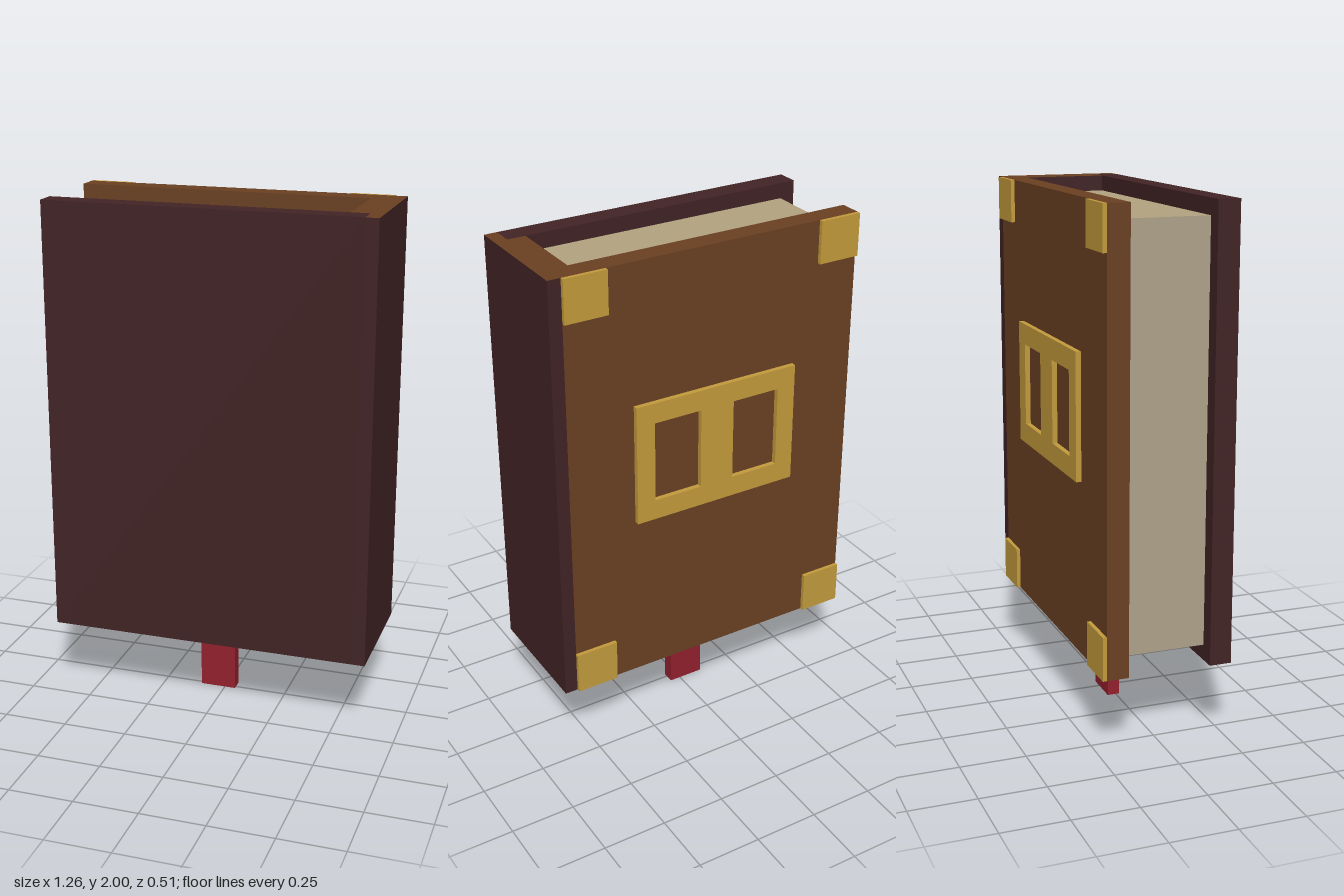
import * as THREE from 'three';

function material(name, color) {
  const m = new THREE.MeshStandardMaterial({ color });
  m.name = name;
  return m;
}

export function createModel() {
  const book = new THREE.Group();
  book.name = 'book';

  const dark = material('dark leather', 0x412325);
  const brown = material('brown leather', 0x6a4022);
  const paper = material('paper', 0xb2a27f);
  const edge = material('paper fore edge', 0xaea28a);
  const gold = material('gold', 0xc39b3c);
  const red = material('red ribbon', 0x92202d);

  // Box given by its limits; mats may be one material or six (+x -x +y -y +z -z)
  function box(name, mats, [x0, x1], [y0, y1], [z0, z1], parent = book) {
    const mesh = new THREE.Mesh(new THREE.BoxGeometry(x1 - x0, y1 - y0, z1 - z0), mats);
    mesh.position.set((x0 + x1) / 2, (y0 + y1) / 2, (z0 + z1) / 2);
    mesh.name = name;
    parent.add(mesh);
    return mesh;
  }

  const height = [0.307, 2];
  const back = -0.235, front = 0.252, innerBack = -0.15, innerFront = 0.168;
  const outer = 0.63, joint = 0.58, spineIn = 0.51;

  // Covers
  box('frontCover', dark, [-outer, joint], height, [innerFront, front]);
  box('backCover', [brown, brown, brown, dark, brown, brown],
    [-outer, joint], height, [back, innerBack]);

  // Spine, stepped around the cover ends, with a brown top
  const spine = new THREE.Group();
  spine.name = 'spine';
  book.add(spine);
  const spineMats = [dark, dark, brown, dark, dark, dark];
  box('spineCore', spineMats, [spineIn, outer], height, [innerBack, innerFront], spine);
  box('spineFrontEdge', spineMats, [joint, outer], height, [innerFront, front], spine);
  box('spineBackEdge', spineMats, [joint, outer], height, [back, innerBack], spine);

  // Page block, inset from the covers
  box('pages', [paper, edge, paper, paper, paper, paper],
    [-0.57, spineIn], [0.367, 1.94], [innerBack, innerFront]);

  // Bookmark hanging below the pages
  box('bookmark', red, [-0.1, 0.043], [0, 0.42], [-0.034, 0.014]);

  // Metal corners on the back cover
  for (const x of [[-outer, -0.462], [0.412, joint]]) {
    for (const y of [[0.307, 0.475], [1.835, 2]]) {
      box('cornerPlate', gold, x, y, [-0.25, back]);
    }
  }

  // Central plate with two windows
  const rect = (Type, x0, x1, y0, y1) => new Type([
    new THREE.Vector2(x0, y0), new THREE.Vector2(x1, y0),
    new THREE.Vector2(x1, y1), new THREE.Vector2(x0, y1),
  ]);
  const outline = rect(THREE.Shape, -0.34, 0.34, -0.24, 0.24);
  outline.holes.push(
    rect(THREE.Path, -0.265, -0.07, -0.16, 0.16),
    rect(THREE.Path, 0.07, 0.265, -0.16, 0.16),
  );
  const plate = new THREE.Mesh(
    new THREE.ExtrudeGeometry(outline, { depth: 0.02, bevelEnabled: false }), gold);
  plate.position.set(-0.026, 1.217, -0.255);
  plate.name = 'windowPlate';
  book.add(plate);

  return book;
}
